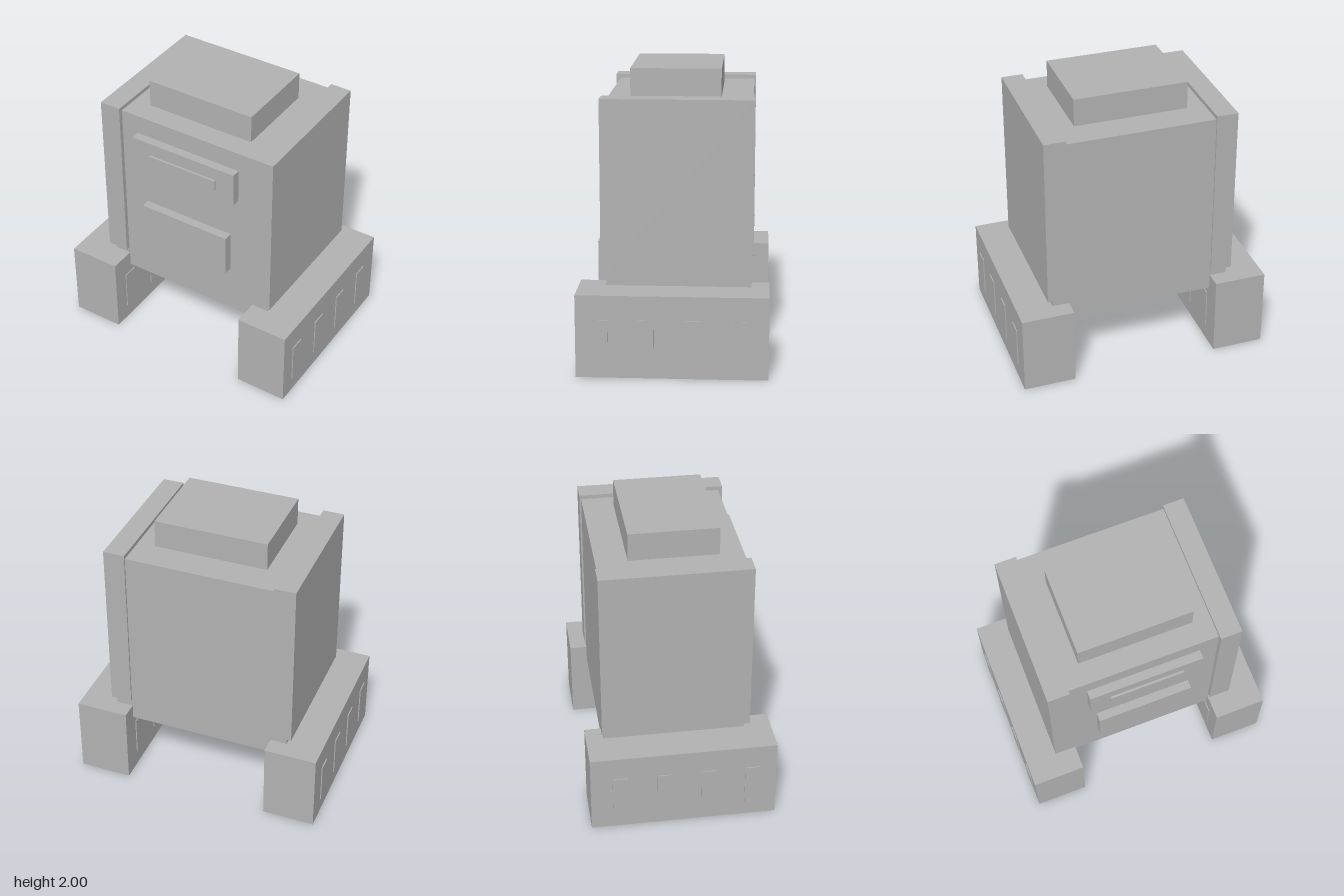
import * as THREE from 'three';

const grey = new THREE.MeshStandardMaterial({ color: 0xb2b2b2 });
grey.name = 'grey';

// Box given by its limits on each axis
function box(name, [x0, x1], [y0, y1], [z0, z1]) {
  const mesh = new THREE.Mesh(new THREE.BoxGeometry(x1 - x0, y1 - y0, z1 - z0), grey);
  mesh.position.set((x0 + x1) / 2, (y0 + y1) / 2, (z0 + z1) / 2);
  mesh.name = name;
  return mesh;
}

export function createModel() {
  const model = new THREE.Group();
  model.name = 'blockRobot';

  // Torso and head
  model.add(
    box('torso', [-0.636, 0.636], [0.46, 1.805], [-0.52, 0.457]),
    box('head', [-0.396, 0.396], [1.805, 2], [-0.305, 0.305]),
  );

  // Raised details on the chest
  model.add(
    box('upperChestPlate', [-0.396, 0.396], [1.423, 1.668], [0.457, 0.518]),
    box('chestBar', [-0.26, 0.26], [1.5, 1.575], [0.518, 0.534]),
    box('lowerChestPlate', [-0.337, 0.337], [0.813, 1.115], [0.457, 0.518]),
  );

  for (const side of [-1, 1]) {
    const label = side > 0 ? 'left' : 'right';
    const span = (a, b) => (side > 0 ? [a, b] : [-b, -a]);

    // Slab on the side of the torso
    model.add(box(label + 'SidePanel', span(0.521, 0.671), [0.613, 1.833], [-0.532, 0.488]));

    // Long foot with four raised plates on both faces
    const foot = new THREE.Group();
    foot.name = label + 'Foot';
    foot.add(box('footBlock', span(0.518, 0.885), [0, 0.566], [-0.64, 0.64]));
    for (let i = 0; i < 4; i++) {
      const z = -0.438 + i * 0.304;
      foot.add(
        box('outerFootPlate', span(0.885, 0.892), [0.11, 0.4], [z - 0.052, z + 0.052]),
        box('innerFootPlate', span(0.511, 0.518), [0.11, 0.4], [z - 0.052, z + 0.052]),
      );
    }
    model.add(foot);
  }
  return model;
}
